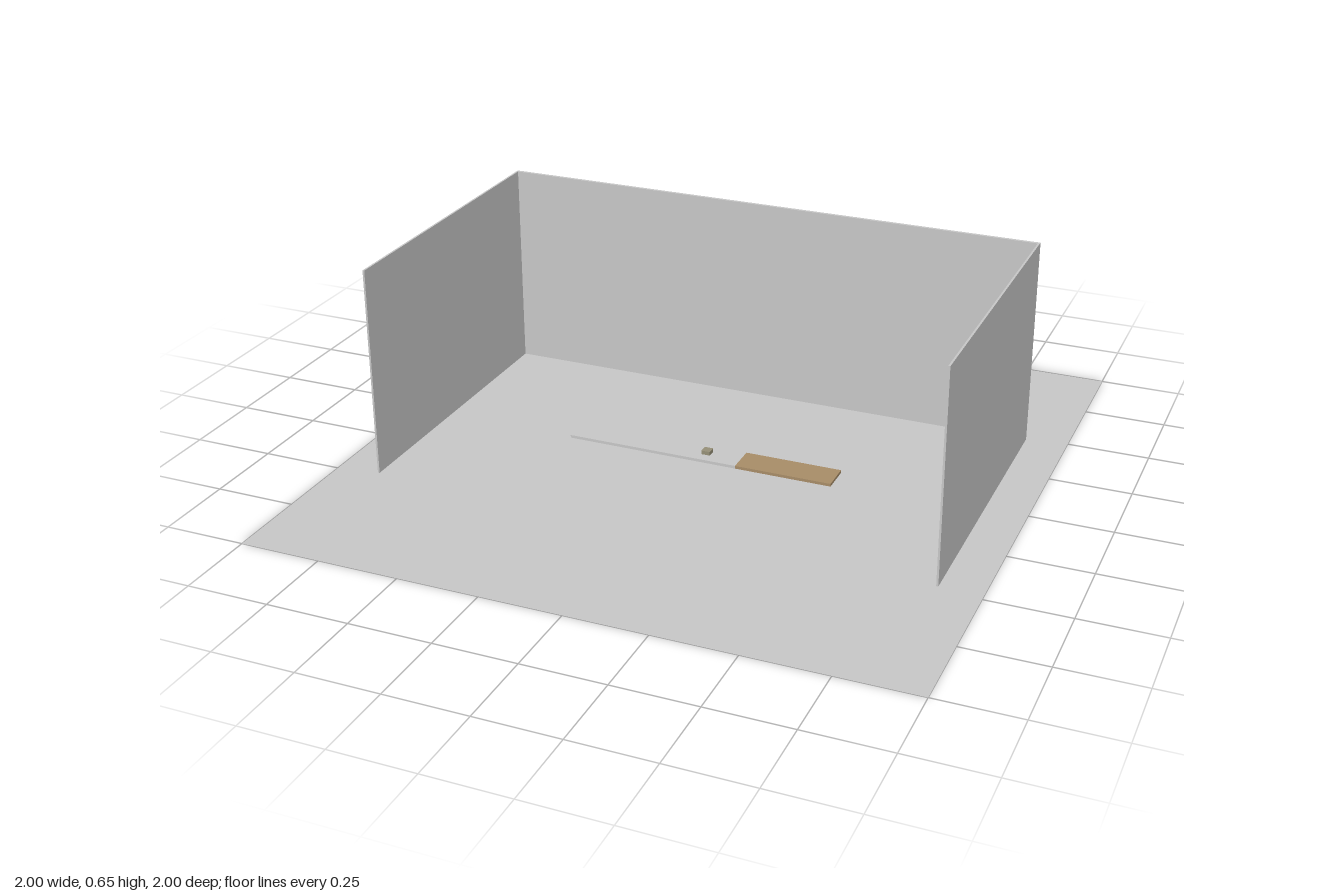
import * as THREE from 'three';

export function createModel() {
  const model = new THREE.Group();
  const makeMaterial = (name, color) => {
    const m = new THREE.MeshStandardMaterial({ color });
    m.name = name;
    return m;
  };
  const grey = makeMaterial('light grey', 0xc8c8c8);
  grey.side = THREE.DoubleSide;
  const wood = makeMaterial('wood brown', 0xa88d68);
  const olive = makeMaterial('olive grey', 0x969078);

  // Box given by its lower and upper corners
  const addBox = (name, material, [x0, y0, z0], [x1, y1, z1]) => {
    const mesh = new THREE.Mesh(new THREE.BoxGeometry(x1 - x0, y1 - y0, z1 - z0), material);
    mesh.position.set((x0 + x1) / 2, (y0 + y1) / 2, (z0 + z1) / 2);
    mesh.name = name;
    model.add(mesh);
  };

  // Ground sheet
  const ground = new THREE.Mesh(new THREE.PlaneGeometry(2, 2).rotateX(-Math.PI / 2), grey);
  ground.name = 'ground';
  model.add(ground);

  // Three-sided enclosure, open at the front
  const height = 0.653;
  addBox('backWall', grey, [-0.873, 0, -0.484], [0.873, height, -0.474]);
  for (const [name, x] of [['leftWall', 0.87], ['rightWall', -0.87]]) {
    addBox(name, grey, [x - 0.003, 0, -0.474], [x + 0.003, height, 0.48]);
  }

  // Low two-tone strip with a small block at the middle
  addBox('greyStrip', grey, [-0.44, 0.001, -0.048], [0.11, 0.01, 0.048]);
  addBox('woodStrip', wood, [0.11, 0.001, -0.048], [0.415, 0.01, 0.048]);
  addBox('centreBlock', olive, [-0.014, 0.008, -0.014], [0.014, 0.022, 0.014]);

  return model;
}
